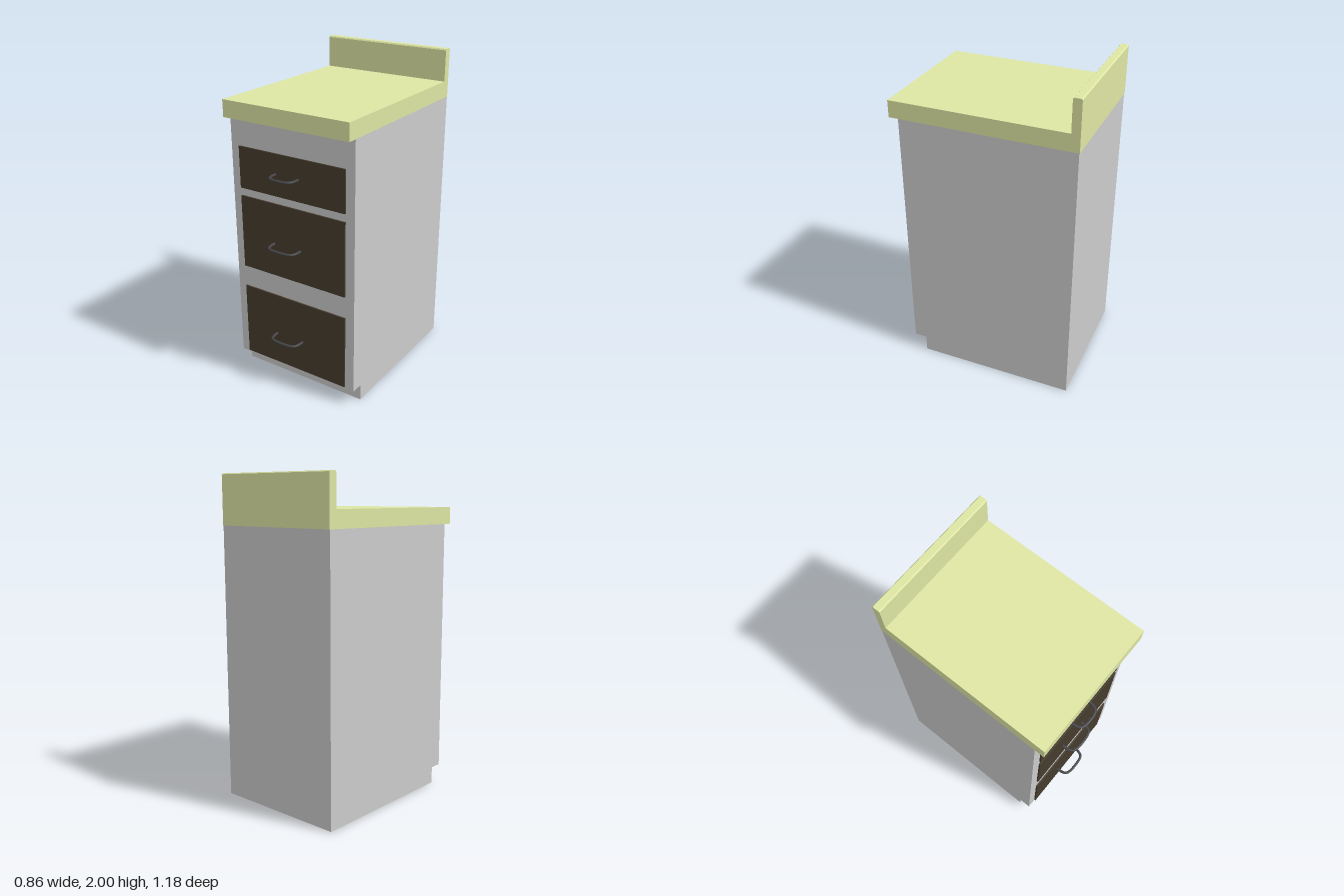
import * as THREE from 'three';

const grey = new THREE.MeshStandardMaterial({ color: 0xcccccc });
const green = new THREE.MeshStandardMaterial({ color: 0xdee6a3 });
const brown = new THREE.MeshStandardMaterial({ color: 0x463c2e });
const dark = new THREE.MeshStandardMaterial({ color: 0x444446 });

const HALF_WIDTH = 0.43;

// Extrudes a side profile of [z, y] points across the full width.
function sideExtrusion(name, points, material) {
  const shape = new THREE.Shape(points.map(([z, y]) => new THREE.Vector2(-z, y)));
  const geometry = new THREE.ExtrudeGeometry(shape, { depth: HALF_WIDTH * 2, bevelEnabled: false });
  geometry.translate(0, 0, -HALF_WIDTH).rotateY(Math.PI / 2);
  const mesh = new THREE.Mesh(geometry, material);
  mesh.name = name;
  return mesh;
}

// Bowed pull handle whose feet meet the drawer front.
function makeHandle(x0, x1, y, zFront, zTip) {
  const r = 0.009, z = zTip - r;
  const path = new THREE.CatmullRomCurve3([
    [x0 + r, zFront], [x0 + r, zFront + 0.035], [x0 + 0.022, z - 0.013], [x0 + 0.05, z],
    [x1 - 0.05, z], [x1 - 0.022, z - 0.013], [x1 - r, zFront + 0.035], [x1 - r, zFront],
  ].map(([px, pz]) => new THREE.Vector3(px, 0, pz)));
  const mesh = new THREE.Mesh(new THREE.TubeGeometry(path, 40, r, 10), dark);
  mesh.scale.y = 0.85;
  mesh.position.y = y;
  mesh.name = 'handle';
  return mesh;
}

function makeDrawer({ name, bottom, top, handle }) {
  const drawer = new THREE.Group();
  drawer.name = name;
  const front = new THREE.Mesh(new THREE.BoxGeometry(0.74, top - bottom, 0.02), brown);
  front.position.set(0, (top + bottom) / 2, 0.49);
  front.name = 'drawerFront';
  drawer.add(front, makeHandle(...handle, 0.495, 0.588));
  return drawer;
}

export function createModel() {
  const model = new THREE.Group();
  model.name = 'drawerCabinet';

  // Carcass with a recessed toe kick
  model.add(sideExtrusion('cabinetBody', [
    [-0.585, 0], [0.41, 0], [0.41, 0.105], [0.49, 0.105], [0.49, 1.695], [-0.585, 1.695],
  ], grey));

  // Worktop and upstand in one profile, with softened upstand edges
  model.add(sideExtrusion('worktop', [
    [-0.588, 1.695], [0.55, 1.695], [0.55, 1.8], [-0.536, 1.8],
    [-0.536, 1.992], [-0.542, 2], [-0.582, 2], [-0.588, 1.994],
  ], green));

  // Drawers, bottom to top; handle is [left end x, right end x, y]
  [
    { name: 'bottomDrawer', bottom: 0.12, top: 0.6, handle: [-0.14, 0.07, 0.33] },
    { name: 'middleDrawer', bottom: 0.74, top: 1.21, handle: [-0.14, 0.07, 0.95] },
    { name: 'topDrawer', bottom: 1.26, top: 1.52, handle: [-0.115, 0.065, 1.395] },
  ].forEach((spec) => model.add(makeDrawer(spec)));

  return model;
}
